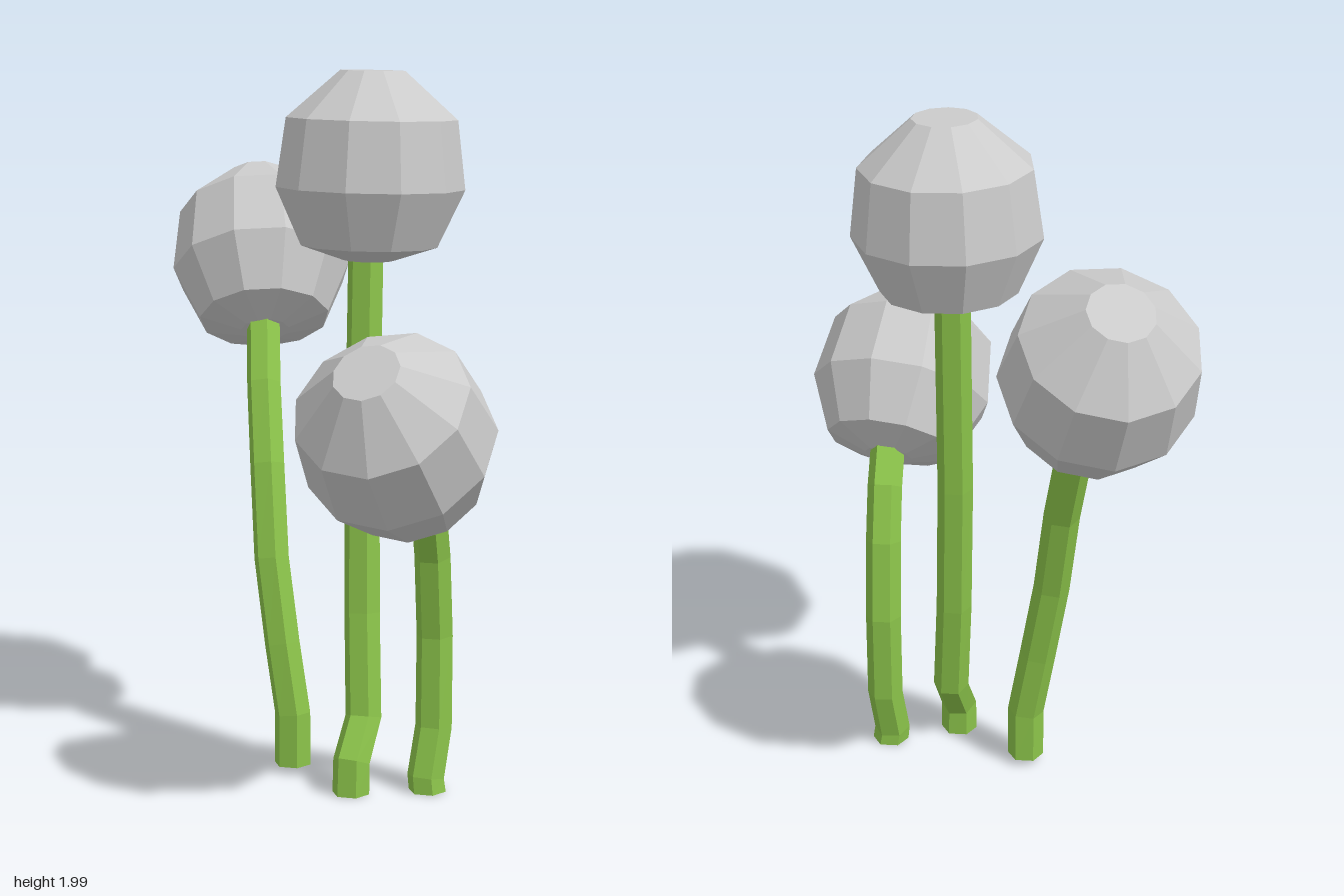
import * as THREE from 'three';

const green = new THREE.MeshStandardMaterial({ color: 0x8bc34a, flatShading: true });
const grey = new THREE.MeshStandardMaterial({ color: 0xcccccc, flatShading: true });
const UP = new THREE.Vector3(0, 1, 0);

// Hexagonal stalk: a cylinder whose rings are moved onto the path points
function makeStem(points) {
  const path = points.map(p => new THREE.Vector3(...p));
  const n = path.length - 1;
  const turns = path.map((p, i) => {
    const dir = path[Math.min(i + 1, n)].clone().sub(path[Math.max(i - 1, 0)]).normalize();
    if (i === 0) dir.copy(UP);
    return new THREE.Quaternion().setFromUnitVectors(UP, dir);
  });
  const geo = new THREE.CylinderGeometry(0.05, 0.053, 1, 6, n);
  geo.rotateY(Math.PI / 6);
  const pos = geo.attributes.position;
  const v = new THREE.Vector3();
  for (let i = 0; i < pos.count; i++) {
    v.fromBufferAttribute(pos, i);
    const k = Math.round((v.y + 0.5) * n);
    v.setY(0).applyQuaternion(turns[k]).add(path[k]);
    pos.setXYZ(i, v.x, v.y, v.z);
  }
  geo.computeVertexNormals();
  const mesh = new THREE.Mesh(geo, green);
  mesh.name = 'stem';
  return mesh;
}

// Faceted round head with a flat cap, turned along its axis
function makeHead(center, axis) {
  const profile = [[0, -0.26], [0.07, -0.26], [0.19, -0.22], [0.263, -0.06],
    [0.238, 0.13], [0.09, 0.26], [0, 0.26]].map(p => new THREE.Vector2(...p));
  const mesh = new THREE.Mesh(new THREE.LatheGeometry(profile, 11), grey);
  mesh.name = 'head';
  mesh.position.set(...center);
  mesh.quaternion.setFromUnitVectors(UP, new THREE.Vector3(...axis).normalize());
  return mesh;
}

const flowers = [
  {
    name: 'tallFlower', center: [0.12, 1.74, -0.03], axis: [0.02, 1, 0],
    path: [[0.12, 0.01, 0.17], [0.12, 0.1, 0.165], [0.135, 0.21, 0.09], [0.12, 0.5, 0.05],
      [0.11, 0.9, 0.015], [0.11, 1.52, -0.02]],
  },
  {
    name: 'backFlower', center: [-0.315, 1.46, -0.42], axis: [-0.05, 0.21, -0.13],
    path: [[-0.095, 0.03, 0.01], [-0.095, 0.18, 0.01], [-0.13, 0.38, -0.005], [-0.17, 0.62, -0.035],
      [-0.2, 0.88, -0.095], [-0.235, 1.1, -0.18], [-0.265, 1.27, -0.275]],
  },
  {
    name: 'frontFlower', center: [0.3, 1.07, 0.415], axis: [-0.03, 0.185, 0.18],
    path: [[0.32, 0.01, 0.09], [0.315, 0.05, 0.09], [0.33, 0.19, 0.06], [0.33, 0.45, 0.055],
      [0.33, 0.68, 0.09], [0.33, 0.83, 0.145], [0.33, 0.95, 0.25]],
  },
];

export function createModel() {
  const model = new THREE.Group();
  model.name = 'flowers';
  for (const f of flowers) {
    const flower = new THREE.Group();
    flower.name = f.name;
    flower.add(makeStem(f.path), makeHead(f.center, f.axis));
    model.add(flower);
  }
  return model;
}
